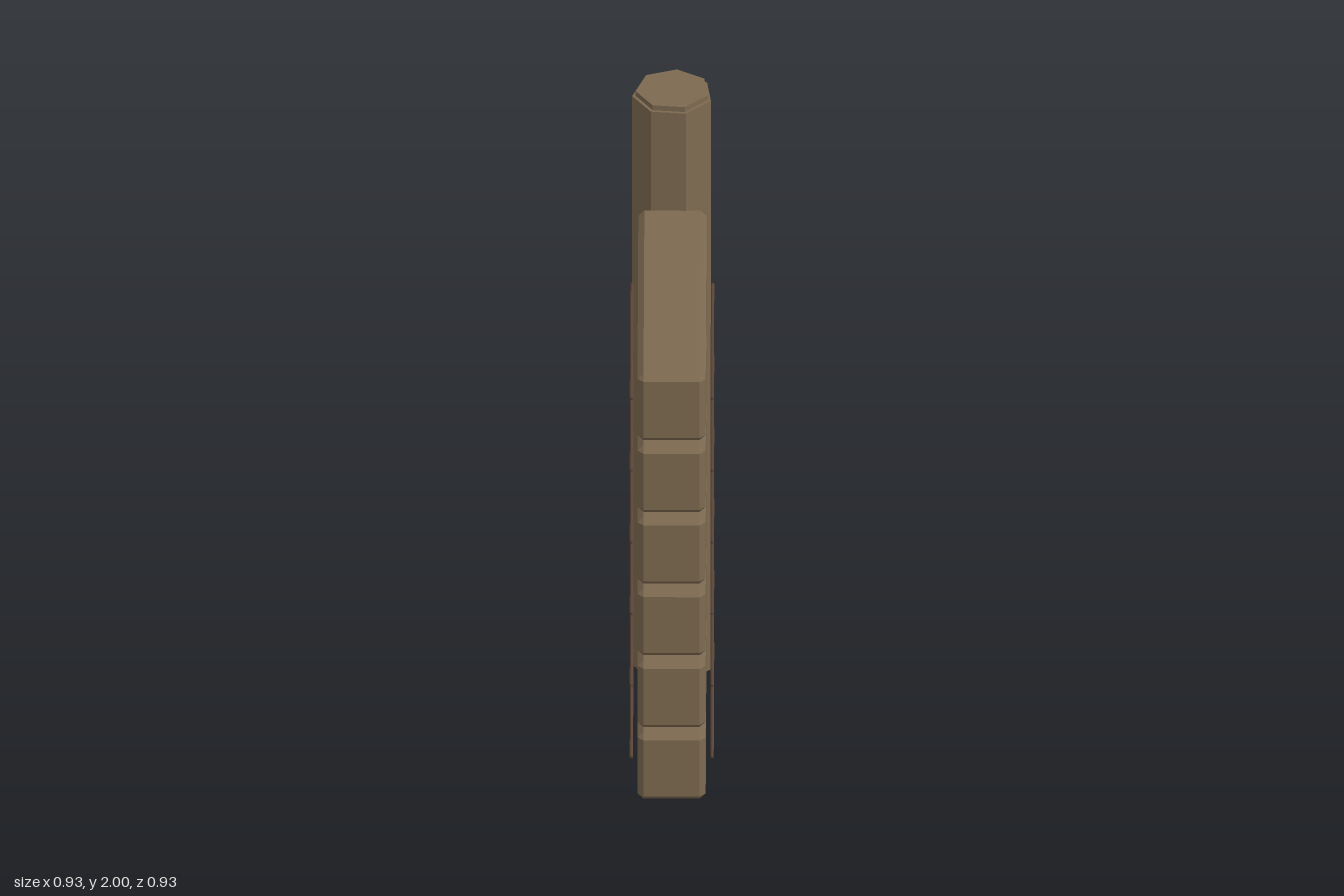
import * as THREE from 'three';
import { ConvexGeometry } from 'three/addons/geometries/ConvexGeometry.js';

// Box with every edge cut flat by c
function chamferedBox(w, h, d, c) {
  const points = [];
  const [x, y, z] = [w / 2, h / 2, d / 2];
  for (const sx of [-1, 1]) for (const sy of [-1, 1]) for (const sz of [-1, 1]) {
    points.push(
      new THREE.Vector3(sx * x, sy * (y - c), sz * (z - c)),
      new THREE.Vector3(sx * (x - c), sy * y, sz * (z - c)),
      new THREE.Vector3(sx * (x - c), sy * (y - c), sz * z));
  }
  return new ConvexGeometry(points);
}

// Flat-sided seven-cornered prism from y0 to y1, with a corner pointing to the back
function sevenSided(radius, y0, y1) {
  const cylinder = new THREE.CylinderGeometry(radius, radius, y1 - y0, 7, 1, false, Math.PI);
  cylinder.translate(0, (y0 + y1) / 2, 0);
  const flat = cylinder.toNonIndexed();
  flat.computeVertexNormals();
  return flat;
}

export function createModel() {
  const model = new THREE.Group();
  model.name = 'shutterOnPost';

  const wood = new THREE.MeshStandardMaterial({ color: 0x7d6950 });
  wood.name = 'brown wood';
  const crackWood = new THREE.MeshStandardMaterial({ color: 0x5a4437 });
  crackWood.name = 'dark crack';

  const add = (parent, name, geometry, material, x, y, z) => {
    const mesh = new THREE.Mesh(geometry, material);
    mesh.name = name;
    mesh.position.set(x, y, z);
    parent.add(mesh);
    return mesh;
  };

  // Post with a slightly narrower cap on top
  const post = new THREE.Group();
  post.name = 'post';
  post.position.set(0.344, 0, -0.344);
  add(post, 'postShaft', sevenSided(0.121, 0, 1.983), wood, 0, 0, 0);
  add(post, 'postCap', sevenSided(0.111, 1.983, 2), wood, 0, 0, 0);
  model.add(post);

  // Six stacked planks set diagonally, each with a sloping crack on both faces
  const panel = new THREE.Group();
  panel.name = 'plankPanel';
  panel.rotation.y = Math.PI / 4;
  const plankGeometry = chamferedBox(0.966, 0.231, 0.203, 0.018);
  const crackGeometry = chamferedBox(0.666, 0.013, 0.01, 0.003);
  for (let i = 0; i < 6; i++) {
    const y = 0.278 + i * 0.25;
    add(panel, 'plank', plankGeometry, wood, -0.09, y, 0);
    for (const side of [-1, 1]) {
      const crack = add(panel, 'crack', crackGeometry, crackWood, -0.112, y - 0.043, side * 0.12);
      crack.rotation.z = -0.014;
    }
  }
  model.add(panel);

  return model;
}
